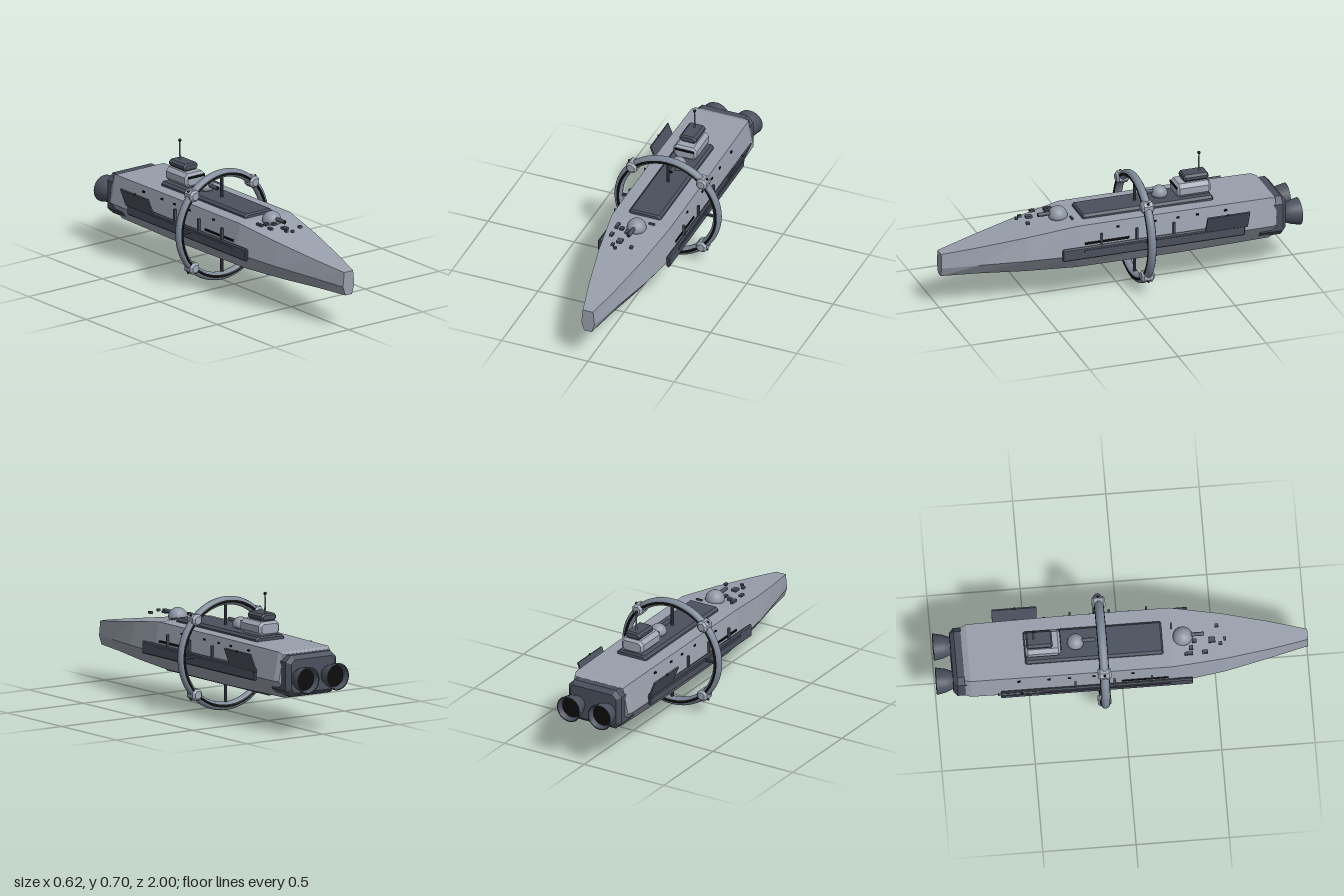
import * as THREE from 'three';

const mat = (color, extra = {}) => new THREE.MeshStandardMaterial({ color, ...extra });

export function createModel() {
  const model = new THREE.Group();
  const hullMat = mat(0x989fab, { flatShading: true, side: THREE.DoubleSide });
  const lightMat = mat(0x9fa7b4, { flatShading: true });
  const darkMat = mat(0x4a505d, { flatShading: true });
  const blackMat = mat(0x0c0c0d);
  const ringMat = mat(0x7f8a9a);
  const domeMat = mat(0x8f97a4);
  const bellMat = mat(0x4a505d, { side: THREE.DoubleSide });

  const add = (name, geo, material, x = 0, y = 0, z = 0, parent = model) => {
    const mesh = new THREE.Mesh(geo, material);
    mesh.name = name;
    mesh.position.set(x, y, z);
    parent.add(mesh);
    return mesh;
  };
  const box = (w, h, d) => new THREE.BoxGeometry(w, h, d);

  // Box with every edge and corner chamfered by c
  const chamferBox = (w, h, d, c) => {
    const a = w / 2 - c, b = h / 2 - c;
    const s = new THREE.Shape([
      [a, -b + c], [a, b - c], [a - c, b], [-a + c, b],
      [-a, b - c], [-a, -b + c], [-a + c, -b], [a - c, -b],
    ].map(([x, y]) => new THREE.Vector2(x, y)));
    const g = new THREE.ExtrudeGeometry(s, {
      depth: d - 2 * c, bevelEnabled: true, bevelSize: c, bevelThickness: c, bevelSegments: 1,
    });
    return g.translate(0, 0, -d / 2 + c);
  };

  // Hull lofted through hexagonal sections: z, top y/x, middle y/x, bottom y/x
  const sections = [
    [1.0, 0.33, 0.030, 0.25, 0.038, 0.20, 0.022],
    [0.8, 0.362, 0.078, 0.263, 0.092, 0.197, 0.05],
    [0.55, 0.402, 0.128, 0.275, 0.154, 0.19, 0.092],
    [0.27, 0.445, 0.168, 0.285, 0.2, 0.183, 0.122],
    [-0.3, 0.445, 0.168, 0.285, 0.2, 0.18, 0.125],
    [-0.82, 0.44, 0.163, 0.285, 0.193, 0.187, 0.12],
    [-0.85, 0.428, 0.152, 0.285, 0.182, 0.195, 0.112],
  ].map(([z, ty, tx, my, mx, by, bx]) =>
    [[tx, ty], [-tx, ty], [-mx, my], [-bx, by], [bx, by], [mx, my]].map(([x, y]) => [x, y, z]));
  const verts = [];
  const tri = (...pts) => pts.forEach((p) => verts.push(...p));
  for (let i = 0; i < sections.length - 1; i++) {
    const a = sections[i], b = sections[i + 1];
    for (let j = 0; j < 6; j++) {
      const k = (j + 1) % 6;
      tri(a[j], b[j], b[k]);
      tri(a[j], b[k], a[k]);
    }
  }
  const bow = sections[0], stern = sections[sections.length - 1];
  for (let j = 1; j < 5; j++) {
    tri(bow[0], bow[j], bow[j + 1]);
    tri(stern[0], stern[j + 1], stern[j]);
  }
  const hull = new THREE.BufferGeometry();
  hull.setAttribute('position', new THREE.Float32BufferAttribute(verts, 3));
  hull.computeVertexNormals();
  add('hull', hull, hullMat);

  // Deck and belly plates
  add('deckPlate', chamferBox(0.185, 0.04, 0.74, 0.008), darkMat, 0, 0.447, -0.15);
  add('bellyPlate', chamferBox(0.13, 0.045, 0.95, 0.01), darkMat, 0, 0.178, -0.105);

  // Engine block and bells
  add('engineBlock', chamferBox(0.33, 0.225, 0.17, 0.022), darkMat, 0, 0.315, -0.825);
  const bellProfile = [[0.04, 0], [0.052, 0.02], [0.064, 0.05], [0.074, 0.1], [0.064, 0.1], [0.056, 0.06]]
    .map(([r, h]) => new THREE.Vector2(r, h));
  for (const s of [-1, 1]) {
    const engine = new THREE.Group();
    engine.name = 'engine';
    engine.position.set(s * 0.097, 0.305, -0.9);
    engine.rotation.x = -Math.PI / 2;
    model.add(engine);
    add('bell', new THREE.LatheGeometry(bellProfile, 28), bellMat, 0, 0, 0, engine);
    add('nozzleInterior', new THREE.CylinderGeometry(0.059, 0.055, 0.01, 28), blackMat, 0, 0.065, 0, engine);
  }

  // Habitat ring with dark bands, spokes and corner pods
  const ring = new THREE.Group();
  ring.name = 'habitatRing';
  ring.position.set(0, 0.3125, -0.105);
  model.add(ring);
  add('ringTube', new THREE.TorusGeometry(0.286, 0.023, 14, 72), ringMat, 0, 0, 0, ring);
  for (const s of [-1, 1])
    add('ringBand', new THREE.TorusGeometry(0.284, 0.0095, 8, 72), blackMat, 0, 0, s * 0.0165, ring);
  const spoke = (len) => new THREE.CylinderGeometry(0.0085, 0.0085, len, 10);
  add('topSpoke', spoke(0.15), darkMat, 0, 0.2, 0, ring);
  add('bottomSpoke', spoke(0.15), darkMat, 0, -0.2, 0, ring);
  for (const s of [-1, 1]) {
    add('sideSpoke', spoke(0.09), darkMat, s * 0.227, 0, 0, ring).rotation.z = Math.PI / 2;
    for (const t of [-1, 1]) {
      add('ringPod', chamferBox(0.062, 0.062, 0.072, 0.011), lightMat, s * 0.203, t * 0.203, 0, ring);
      add('podLamp', new THREE.SphereGeometry(0.007, 10, 8), blackMat, s * 0.226, t * 0.228, 0, ring);
    }
  }

  // Side equipment, mirrored
  for (const s of [-1, 1]) {
    add('sideRail', chamferBox(0.018, 0.07, 1.03, 0.004), darkMat, s * 0.199, 0.298, -0.145);
    add('railRidge', box(0.008, 0.012, 0.9), darkMat, s * 0.208, 0.31, -0.2);
    add('sideSlot', box(0.016, 0.012, 0.25), blackMat, s * 0.184, 0.345, 0.115);
    for (const z of [0.15, -0.05, -0.26])
      add('sideStrut', box(0.012, 0.065, 0.012), darkMat, s * 0.198, 0.364, z);
    for (const z of [0.05, -0.16, -0.29, -0.4, -0.56])
      add('window', box(0.008, 0.009, 0.016), blackMat, s * 0.175, 0.412, z);
    const radiator = add('radiatorPanel', box(0.009, 0.108, 0.24), darkMat, s * 0.222, 0.363, -0.555);
    radiator.rotation.z = -s * 0.37;
    add('radiatorLamp', new THREE.SphereGeometry(0.007, 10, 8), blackMat, s * 0.242, 0.413, -0.55);
  }

  // Bridge tower with mast
  add('bridge', chamferBox(0.136, 0.078, 0.19, 0.013), lightMat, 0, 0.505, -0.422);
  add('bridgeWindow', box(0.11, 0.012, 0.006), blackMat, 0, 0.523, -0.326);
  add('bridgeRoof', chamferBox(0.096, 0.04, 0.14, 0.008), darkMat, 0, 0.565, -0.44);
  add('mast', new THREE.CylinderGeometry(0.003, 0.0055, 0.105, 8), ringMat, 0, 0.635, -0.47);
  add('mastBall', new THREE.SphereGeometry(0.009, 12, 8), blackMat, 0, 0.69, -0.47);

  // Domed turrets with forward barrels
  const turret = (y, z, r) => {
    const g = new THREE.Group();
    g.name = 'turret';
    g.position.set(0, y, z);
    model.add(g);
    add('dome', new THREE.SphereGeometry(r, 24, 10, 0, Math.PI * 2, 0, Math.PI / 2), domeMat, 0, 0, 0, g);
    add('domeBase', new THREE.CylinderGeometry(r, r * 0.9, 0.012, 24), domeMat, 0, -0.006, 0, g);
    add('pedestal', new THREE.CylinderGeometry(r * 0.55, r * 0.55, 0.03, 16), darkMat, 0, -0.02, 0, g);
    const barrel = add('barrel', new THREE.CylinderGeometry(0.011, 0.011, 0.08, 12), darkMat, 0, 0.018, r + 0.02, g);
    barrel.rotation.x = Math.PI / 2;
    const muzzle = add('muzzle', new THREE.CylinderGeometry(0.007, 0.007, 0.004, 12), blackMat, 0, 0.018, r + 0.06, g);
    muzzle.rotation.x = Math.PI / 2;
  };
  turret(0.445, 0.33, 0.053);
  turret(0.486, -0.245, 0.045);

  // Small foredeck fittings: x, z, width, depth
  [[-0.1, 0.355, 0.016, 0.045], [-0.068, 0.37, 0.022, 0.022], [-0.097, 0.443, 0.018, 0.03],
    [-0.032, 0.484, 0.03, 0.036], [0.047, 0.515, 0.018, 0.02], [-0.055, 0.528, 0.016, 0.02],
    [-0.032, 0.553, 0.018, 0.014], [0.064, 0.273, 0.034, 0.01], [-0.03, 0.39, 0.02, 0.025],
  ].forEach(([x, z, w, d]) => add('deckFitting', box(w, 0.013, d), darkMat, x, 0.447, z));

  return model;
}
